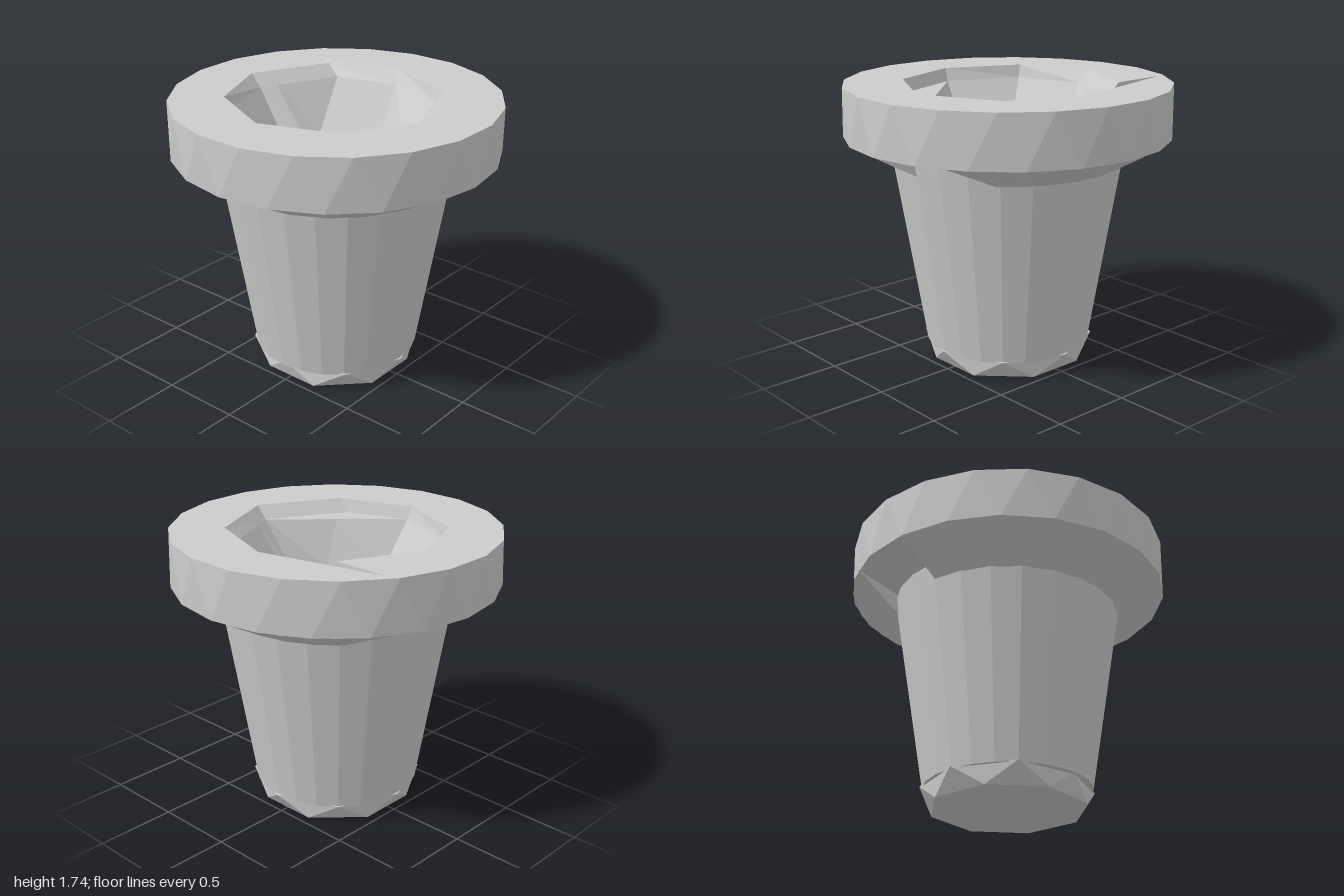
import * as THREE from 'three';

const TAU = Math.PI * 2;
const material = new THREE.MeshStandardMaterial({ color: 0xcccccc, flatShading: true });

// Points on an arc, angle measured from +z towards +x
function arc(r, y, n, from, to) {
  return Array.from({ length: n + 1 }, (_, i) => {
    const a = from + (to - from) * i / n;
    return [r * Math.sin(a), y, r * Math.cos(a)];
  });
}
const ring = (r, y, n, turn = 0) => arc(r, y, n, turn, turn + TAU);

// Band of triangles between a lower and an upper row of points
function loft(low, high, extra = []) {
  const p = [];
  for (let i = 0; i < low.length - 1; i++) {
    p.push(...low[i], ...low[i + 1], ...high[i]);
    p.push(...low[i + 1], ...high[i + 1], ...high[i]);
  }
  extra.forEach(v => p.push(...v));
  const g = new THREE.BufferGeometry();
  g.setAttribute('position', new THREE.Float32BufferAttribute(p, 3));
  g.computeVertexNormals();
  return g;
}

export function createModel() {
  const model = new THREE.Group();
  const add = (name, geometry) => {
    const mesh = new THREE.Mesh(geometry, material);
    mesh.name = name;
    model.add(mesh);
  };

  // Faceted foot: two octagons, one turned by half a step, blunt on the right
  const footTop = ring(0.53, 0.125, 8).map(([x, y, z]) => [Math.max(x, -0.49), y, z]);
  add('foot', loft(ring(0.48, 0, 8, -Math.PI / 8), footTop));
  add('footBottom', new THREE.CircleGeometry(0.48, 8, Math.PI / 8).rotateX(Math.PI / 2));
  add('footLedge', loft(footTop, ring(0.4, 0.125, 8)));

  // Tapered body, its top closing the recess
  add('body', new THREE.CylinderGeometry(0.72, 0.515, 1.25, 24).translate(0, 0.74, 0));

  // Rim: outer wall and shallow underside
  const sides = 20, step = TAU / sides;
  const rimLow = ring(1, 1.42, sides), rimTop = ring(1, 1.74, sides, step / 2);
  add('rimWall', loft(rimLow, rimTop));
  add('rimUnderside', loft(ring(0.66, 1.375, sides), rimLow));

  // Recess corners: [top x, top z, bevel x, bevel z, floor x, floor z]
  const recess = [
    [0, 0.69, 0, 0.62, 0, 0.6],
    [-0.48, 0.43, -0.48, 0.36, -0.22, 0.3],
    [-0.65, -0.04, -0.62, -0.03, -0.43, 0],
    [-0.44, -0.5, -0.43, -0.48, -0.3, -0.3],
    [0, -0.69, 0, -0.62, 0, -0.43],
    [0.1, -0.64, 0.1, -0.57, 0.1, -0.34],
    [0.48, -0.46, 0.48, -0.39, 0.25, -0.34],
    [0.48, -0.82, 0.48, -0.39, 0.25, -0.34], // shallow gouge in the rim
    [0.66, -0.03, 0.6, -0.01, 0.43, 0],
    [0.48, 0.46, 0.48, 0.38, 0.25, 0.34],
    [0.1, 0.64, 0.1, 0.57, 0.1, 0.34],
    [0, 0.69, 0, 0.62, 0, 0.37],
    [0, 0.69, 0, 0.62, 0, 0.6],
  ];
  const row = (k, y) => recess.map(p => [p[k], y, p[k + 1]]);
  const bevel = row(2, 1.66);

  // One wall runs straight across its corner, leaving a flat ledge
  const wallTop = bevel.slice();
  wallTop[1] = [-0.31, 1.66, 0.295];
  add('recessWall', loft(row(4, 1.36), wallTop));
  add('recessLedge', loft(wallTop.slice(0, 3), bevel.slice(0, 3)));
  add('recessBevel', loft(bevel, row(0, 1.74)));

  // Flat top of the rim
  const flat = new THREE.Shape(rimTop.slice(0, -1).map(p => new THREE.Vector2(p[0], -p[2])));
  flat.holes.push(new THREE.Path(recess.slice(0, -2).map(p => new THREE.Vector2(p[0], -p[1]))));
  add('rimTop', new THREE.ShapeGeometry(flat).rotateX(-Math.PI / 2).translate(0, 1.74, 0));

  // Sloped skirts under the rim, leaving a gap at front and back
  const skirt = (name, n, lowFrom, lowTo, highFrom, highTo) => {
    const low = arc(0.7, 1.26, n, lowFrom, lowTo);
    const high = arc(0.995, 1.42, n, highFrom, highTo);
    const inner = arc(0.66, 1.4, n, lowFrom, lowTo);
    add(name, loft(low, high, [
      inner[0], low[0], high[0],
      low[n], inner[n], high[n],
    ]));
  };
  const lowCut = Math.asin(0.48 / 0.7), highCut = Math.asin(0.48 / 0.995);
  skirt('leftSkirt', 7, lowCut, Math.PI - lowCut, highCut, Math.PI - highCut);
  skirt('rightSkirt', 10, Math.PI, TAU, Math.PI, TAU);

  return model;
}
